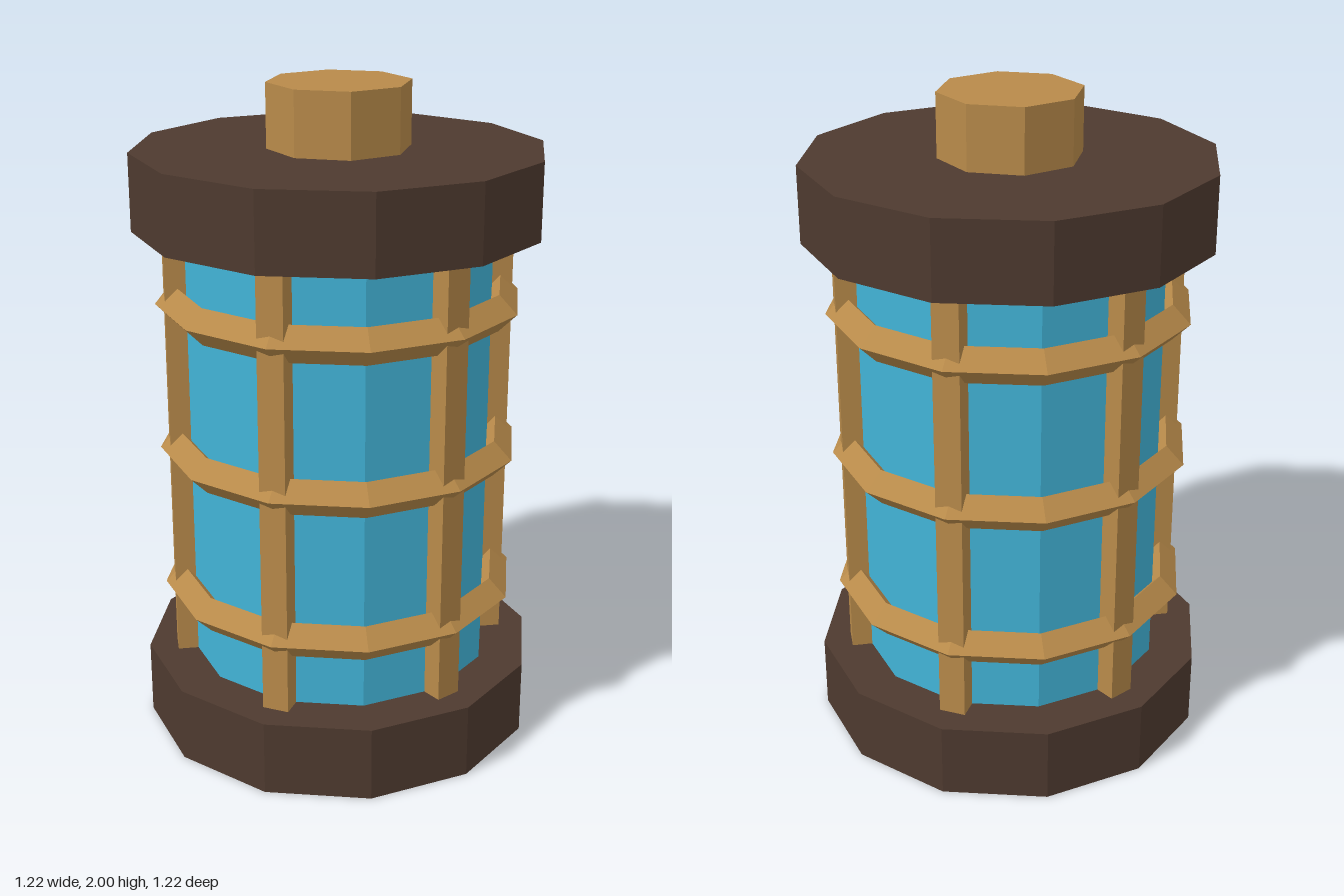
import * as THREE from 'three';

const flat = (color) => new THREE.MeshStandardMaterial({ color, flatShading: true });

export function createModel() {
  const model = new THREE.Group();
  model.name = 'lantern';
  const wood = flat(0x4e3a2f);
  const brass = flat(0xb88a4a);
  const glass = flat(0x42b4d8);

  const add = (name, geometry, material, y) => {
    const mesh = new THREE.Mesh(geometry, material);
    mesh.name = name;
    mesh.position.y = y;
    model.add(mesh);
    return mesh;
  };
  const prism = (radius, height, sides) => new THREE.CylinderGeometry(radius, radius, height, sides);

  // End caps and top knob
  add('baseCap', prism(0.61, 0.23, 12), wood, 0.115);
  add('topCap', prism(0.61, 0.23, 12), wood, 1.695);
  add('topKnob', prism(0.213, 0.19, 8), brass, 1.905);

  // Glass body between the caps
  add('glassBody', prism(0.47, 1.35, 12), glass, 0.905);

  // Six upright bars around the glass
  const barGeometry = new THREE.BoxGeometry(0.08, 1.35, 0.08);
  for (let i = 0; i < 6; i++) {
    const angle = (i * Math.PI) / 3;
    const bar = add(`uprightBar${i + 1}`, barGeometry, brass, 0.905);
    bar.position.x = Math.cos(angle) * 0.482;
    bar.position.z = Math.sin(angle) * 0.482;
    bar.rotation.y = -angle;
  }

  // Three hoops with a diamond cross-section
  const hoopGeometry = new THREE.TorusGeometry(0.495, 0.055, 4, 12).rotateX(Math.PI / 2);
  [0.453, 0.907, 1.36].forEach((y, i) => add(`hoop${i + 1}`, hoopGeometry, brass, y));

  return model;
}
